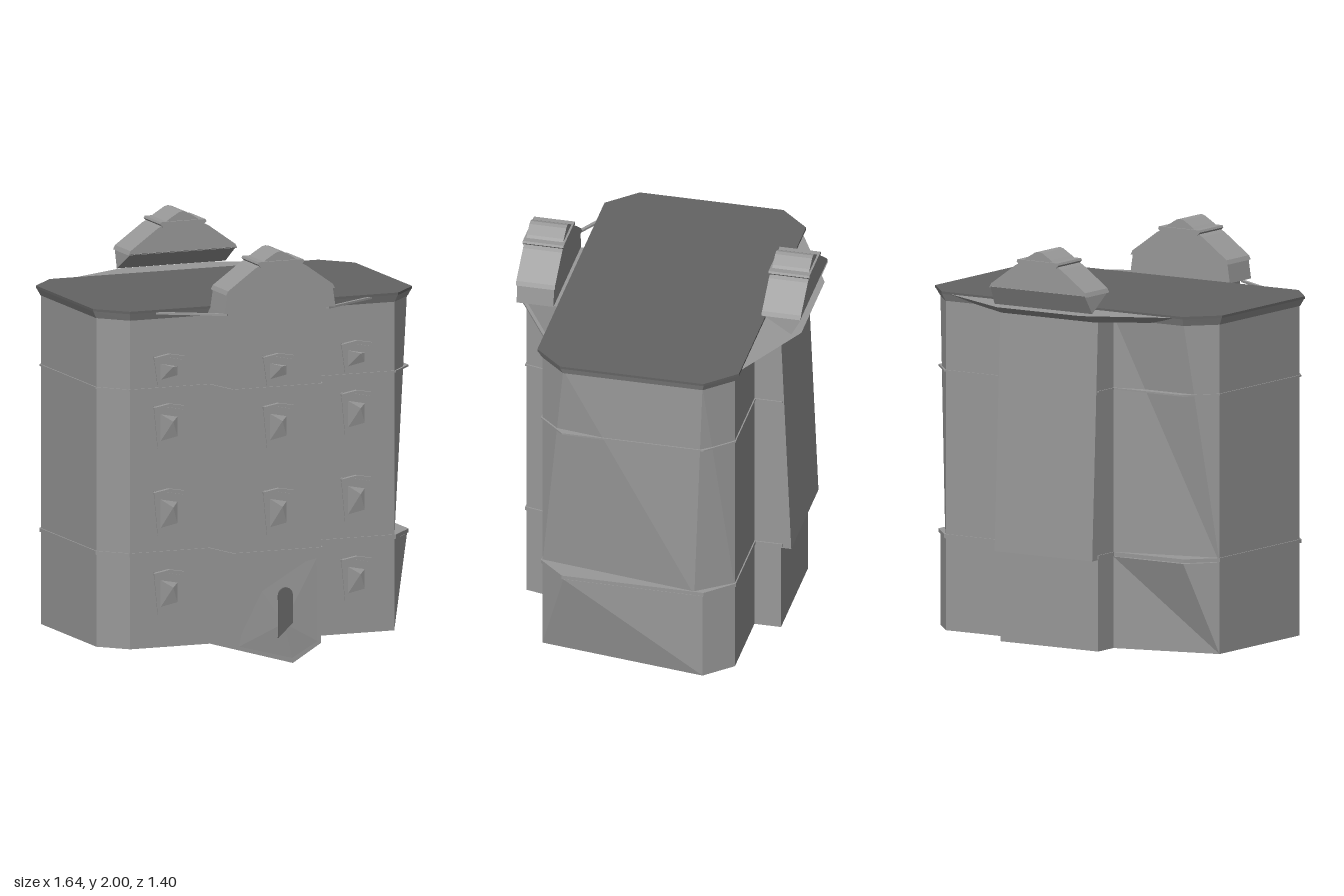
import * as THREE from 'three';
import { ConvexGeometry } from 'three/addons/geometries/ConvexGeometry.js';

const V = (x, y, z) => new THREE.Vector3(x, y, z);

export function createModel() {
  const model = new THREE.Group();
  const wall = new THREE.MeshStandardMaterial({ name: 'wallGrey', color: 0x999999, flatShading: true });
  const dark = new THREE.MeshStandardMaterial({ name: 'roofGrey', color: 0x646464, flatShading: true });

  const add = (name, geo, mat = wall, parent = model) => {
    const m = new THREE.Mesh(geo, mat);
    m.name = name;
    parent.add(m);
    return m;
  };

  // Capped prism between two plan rings of [x, z] with equal counts
  const loft = (r0, y0, r1, y1) => {
    const pos = [];
    const put = (p, y) => pos.push(p[0], y, p[1]);
    r0.forEach((a, i) => {
      const j = (i + 1) % r0.length;
      put(a, y0); put(r0[j], y0); put(r1[i], y1);
      put(r0[j], y0); put(r1[j], y1); put(r1[i], y1);
    });
    const cap = (r, y, up) => {
      const flat = r.map(p => new THREE.Vector2(p[0], -p[1]));
      for (const f of THREE.ShapeUtils.triangulateShape(flat, [])) {
        (up ? f : [f[0], f[2], f[1]]).forEach(k => put(r[k], y));
      }
    };
    cap(r0, y0, false);
    cap(r1, y1, true);
    const g = new THREE.BufferGeometry();
    g.setAttribute('position', new THREE.Float32BufferAttribute(pos, 3));
    g.computeVertexNormals();
    return g;
  };

  const mirrorRing = half => [...half, ...half.slice().reverse().map(([x, z]) => [-x, z])];
  const plan = mirrorRing([[0.225, 0.655], [0.27, 0.47], [0.68, 0.47], [0.8, 0.34],
    [0.8, -0.34], [0.68, -0.47], [0.28, -0.47], [0.28, -0.6]]);
  const change = (ring, edits) => ring.map((p, i) => edits[i] || p);

  // Walls: two storeys of facets whose cut corners leave small ledges at y 0.53
  const cutBase = change(plan, { 3: plan[2], 10: plan[11] });
  const upperBase = change(plan, { 3: plan[2], 4: [0.8, -0.3], 10: plan[11], 7: [0.28, -0.65], 8: [-0.28, -0.65] });
  add('lowerWalls', loft(cutBase, 0.09, plan, 0.53));
  add('upperWalls', loft(upperBase, 0.53, plan, 1.69));

  // Thin belt mouldings
  const grow = (r, d) => r.map(([x, z]) => [x + Math.sign(x) * d, z + Math.sign(z) * d]);
  for (const [y, h] of [[0.535, 0.018], [1.335, 0.008]]) {
    add('belt', loft(grow(plan, 0.006), y, grow(plan, 0.006), y + h));
  }

  // Sunken foot of the front bay, and the faceted entrance surround
  add('bayFoot', new ConvexGeometry([V(-0.27, 0.09, 0.47), V(0.27, 0.09, 0.47), V(0.225, 0.09, 0.655),
    V(-0.225, 0.09, 0.655), V(0.08, 0.003, 0.655), V(-0.08, 0.07, 0.655)]));
  add('entranceSurround', new ConvexGeometry([V(0.22, 0.53, 0.654), V(-0.08, 0.36, 0.658), V(-0.22, 0.09, 0.654),
    V(0.225, 0.09, 0.654), V(0.08, 0.01, 0.654), V(0.03, 0.2, 0.665)]));

  // Arched door plate
  const arch = new THREE.Shape();
  arch.moveTo(0, 0.13);
  arch.lineTo(0.075, 0.2);
  arch.lineTo(0.075, 0.335);
  arch.absarc(0.0375, 0.335, 0.0375, 0, Math.PI, false);
  arch.closePath();
  const extrude = (shape, depth) =>
    new THREE.ExtrudeGeometry(shape, { depth, bevelEnabled: false, curveSegments: 5 });
  add('door', extrude(arch, 0.008), dark).position.z = 0.66;

  // Windows: tapered pane with a slim peaked hood
  const poly = pts => new THREE.Shape(pts.map(p => new THREE.Vector2(p[0], p[1])));
  const addWindow = (x, y, h, z) => {
    const w = new THREE.Group();
    w.name = 'window';
    add('pane', extrude(poly([[-0.055, 0], [0.065, 0], [0.075, h - 0.03], [0, h - 0.015], [-0.075, h - 0.005]]), 0.006), wall, w);
    add('hood', extrude(poly([[-0.078, h - 0.02], [0, h - 0.008], [0.078, h - 0.02],
      [0.078, h - 0.01], [0, h + 0.004], [-0.078, h - 0.01]]), 0.022), wall, w);
    add('reveal', new ConvexGeometry([V(-0.05, 0.02, 0.004), V(0.05, 0.04, 0.004), V(0.05, h - 0.06, 0.004),
      V(-0.05, h - 0.04, 0.004), V(0.02, h * 0.6, 0.018)]), wall, w);
    w.position.set(x, y, z);
    model.add(w);
  };
  for (const [y, h] of [[0.25, 0.21], [0.63, 0.22], [1.05, 0.21], [1.35, 0.15]]) {
    addWindow(-0.485, y, h, 0.469);
    addWindow(0.48, y, h, 0.469);
    if (y > 0.5) addWindow(0, y, h, 0.654);
  }

  // Cornice and flat roof
  const octagon = d => mirrorRing([[0.68 + d / 2, 0.47 + d], [0.8 + d, 0.34 + d / 2],
    [0.8 + d, -0.34 - d / 2], [0.68 + d / 2, -0.47 - d]]);
  add('cornice', loft(octagon(0.002), 1.675, octagon(0.02), 1.71));
  add('roof', loft(octagon(0.022), 1.71, octagon(0.022), 1.722), dark);
  const bayTop = mirrorRing([[0.235, 0.67], [0.285, 0.47]]);
  add('frontBayCornice', loft(bayTop, 1.68, bayTop, 1.715));
  const backTop = mirrorRing([[0.66, -0.48], [0.24, -0.69]]);
  const backUnder = mirrorRing([[0.5, -0.48], [0.26, -0.62]]);
  add('backCornice', loft(backUnder, 1.675, backTop, 1.712));

  // Slim eave strips reaching from the front bay to the main eaves
  for (const s of [-1, 1]) {
    const strip = add('eaveStrip', new THREE.BoxGeometry(0.34, 0.01, 0.016));
    strip.position.set(s * 0.405, 1.705, 0.57);
    strip.rotation.y = s * 0.53;
  }

  // Stepped gables over the front and back bays
  const addGable = (name, z, back) => {
    const g = new THREE.Group();
    g.name = name;
    const slab = (part, half, depth) => {
      const pts = [...half, ...half.slice().reverse().filter(p => p[0] > 0).map(([x, y]) => [-x, y])];
      add(part, extrude(poly(pts), depth), wall, g).position.z = z - depth / 2;
    };
    if (back) {
      add('gableBase', new ConvexGeometry([-1, 1].flatMap(s => [V(s * 0.27, 1.81, -0.5),
        V(s * 0.27, 1.81, -0.7), V(s * 0.28, 1.72, -0.65)])), wall, g);
    } else {
      slab('gableBase', [[0.285, 1.715], [0.27, 1.815]], 0.18);
    }
    slab('gableShoulder', [[0.28, 1.805], [0.27, 1.825], [0.13, 1.925], [0.11, 1.935]], 0.19);
    slab('gableMoulding', [[0.105, 1.93], [0.12, 1.945], [0.115, 1.955]], 0.2);
    slab('gableCrown', [[0.09, 1.95], [0.07, 1.965], [0.02, 1.995], [0, 2.0]], 0.18);
    model.add(g);
  };
  addGable('frontGable', 0.6, false);
  addGable('backGable', -0.6, true);

  return model;
}
